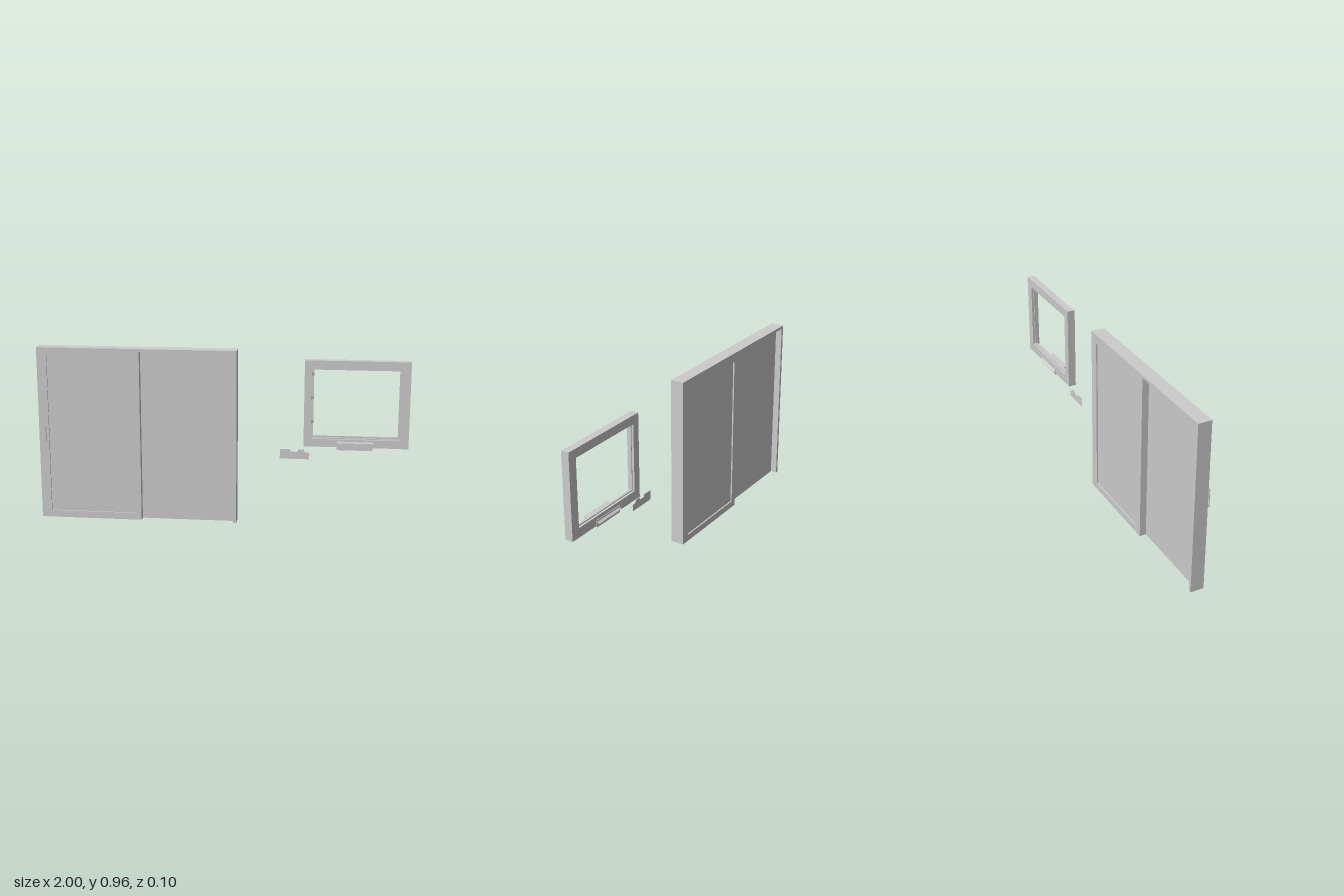
import * as THREE from 'three';

const material = new THREE.MeshStandardMaterial({ color: 0xcccccc, flatShading: true });
const thinMaterial = new THREE.MeshStandardMaterial({ color: 0xcccccc, flatShading: true, side: THREE.DoubleSide });

// Box given by its limits on each axis
function box(name, [x0, x1], [y0, y1], [z0, z1]) {
  const geometry = new THREE.BoxGeometry(x1 - x0, y1 - y0, z1 - z0);
  geometry.translate((x0 + x1) / 2, (y0 + y1) / 2, (z0 + z1) / 2);
  const mesh = new THREE.Mesh(geometry, material);
  mesh.name = name;
  return mesh;
}

function rect(Type, [x0, x1], [y0, y1]) {
  return new Type([[x0, y0], [x1, y0], [x1, y1], [x0, y1]].map(p => new THREE.Vector2(...p)));
}

// Rectangular frame with a rectangular opening
function frame(name, outerX, outerY, innerX, innerY, [z0, z1]) {
  const shape = rect(THREE.Shape, outerX, outerY);
  shape.holes.push(rect(THREE.Path, innerX, innerY));
  const geometry = new THREE.ExtrudeGeometry(shape, { depth: z1 - z0, bevelEnabled: false });
  geometry.translate(0, 0, z0);
  const mesh = new THREE.Mesh(geometry, material);
  mesh.name = name;
  return mesh;
}

// One half of the sliding door: leaf, pane, head and jamb, centred on the door
function doorHalf(name) {
  const half = new THREE.Group();
  half.name = name;
  const w = 0.5425, h = 0.956, d = 0.037, edge = 0.0175;
  half.add(
    frame('leafFrame', [-w, edge], [0, h], [-w + 0.054, -0.018], [0.038, 0.905], [0, d]),
    box('pane', [-w + 0.054, -0.018], [0.038, 0.905], [0, d - 0.008]),
    box('head', [edge, w], [0.94, h], [0, d]),
    box('jamb', [w - 0.016, w], [0, 0.94], [0, d]),
  );
  return half;
}

function buildDoor() {
  const door = new THREE.Group();
  door.name = 'slidingDoor';
  const front = doorHalf('frontLeaf');
  const back = doorHalf('backLeaf');
  back.rotation.y = Math.PI;
  door.add(front, back);
  door.position.set(-0.4575, 0, -0.0145);
  return door;
}

function buildHandle() {
  const handle = new THREE.Group();
  handle.name = 'doorHandle';
  handle.add(
    box('handlePlate', [-0.971, -0.959], [0.432, 0.508], [0.022, 0.03]),
    box('handleNeck', [-0.969, -0.961], [0.462, 0.474], [0.03, 0.045]),
    box('handleGrip', [-0.973, -0.957], [0.457, 0.56], [0.045, 0.049]),
  );
  return handle;
}

function buildWindow() {
  const group = new THREE.Group();
  group.name = 'windowFrame';
  const X = [0.445, 1], Y = [0.447, 0.914];
  // Stepped layers around the opening
  group.add(
    frame('backFrame', X, Y, [0.489, 0.948], [0.498, 0.867], [-0.022, -0.01]),
    frame('glazingRebate', X, Y, [0.494, 0.943], [0.504, 0.862], [-0.01, 0]),
    frame('innerFrame', X, Y, [0.489, 0.948], [0.495, 0.867], [0, 0.008]),
  );
  // Front stiles and rails
  group.add(
    box('rightStile', [0.445, 0.484], Y, [0.008, 0.021]),
    box('leftStile', [0.956, 1], Y, [0.008, 0.021]),
    box('topRail', [0.484, 0.956], [0.872, Y[1]], [0.008, 0.019]),
    box('bottomRail', [0.484, 0.956], [Y[0], 0.49], [0.008, 0.019]),
  );
  // Vent through the bottom rail with a sloping drip flap behind
  group.add(box('ventBox', [0.622, 0.812], [0.44, 0.478], [-0.026, 0.052]));
  const flap = new THREE.Mesh(new THREE.BoxGeometry(0.19, 0.002, 0.016), material);
  flap.name = 'ventFlap';
  flap.position.set(0.717, 0.465, -0.031);
  flap.rotation.x = -0.6;
  group.add(flap);
  return group;
}

// Flat notched section piece with a thin tongue
function buildSection() {
  const outline = [
    [0.318, 0.37], [0.476, 0.37], [0.476, 0.397], [0.489, 0.397], [0.489, 0.4], [0.476, 0.4],
    [0.476, 0.408], [0.453, 0.408], [0.447, 0.423], [0.417, 0.423], [0.411, 0.41],
    [0.378, 0.41], [0.372, 0.423], [0.318, 0.423],
  ];
  const shape = new THREE.Shape(outline.map(p => new THREE.Vector2(...p)));
  const mesh = new THREE.Mesh(new THREE.ShapeGeometry(shape), thinMaterial);
  mesh.name = 'sectionPiece';
  return mesh;
}

export function createModel() {
  const model = new THREE.Group();
  model.name = 'doorAndWindow';
  model.add(buildDoor(), buildHandle(), buildWindow(), buildSection());
  return model;
}
